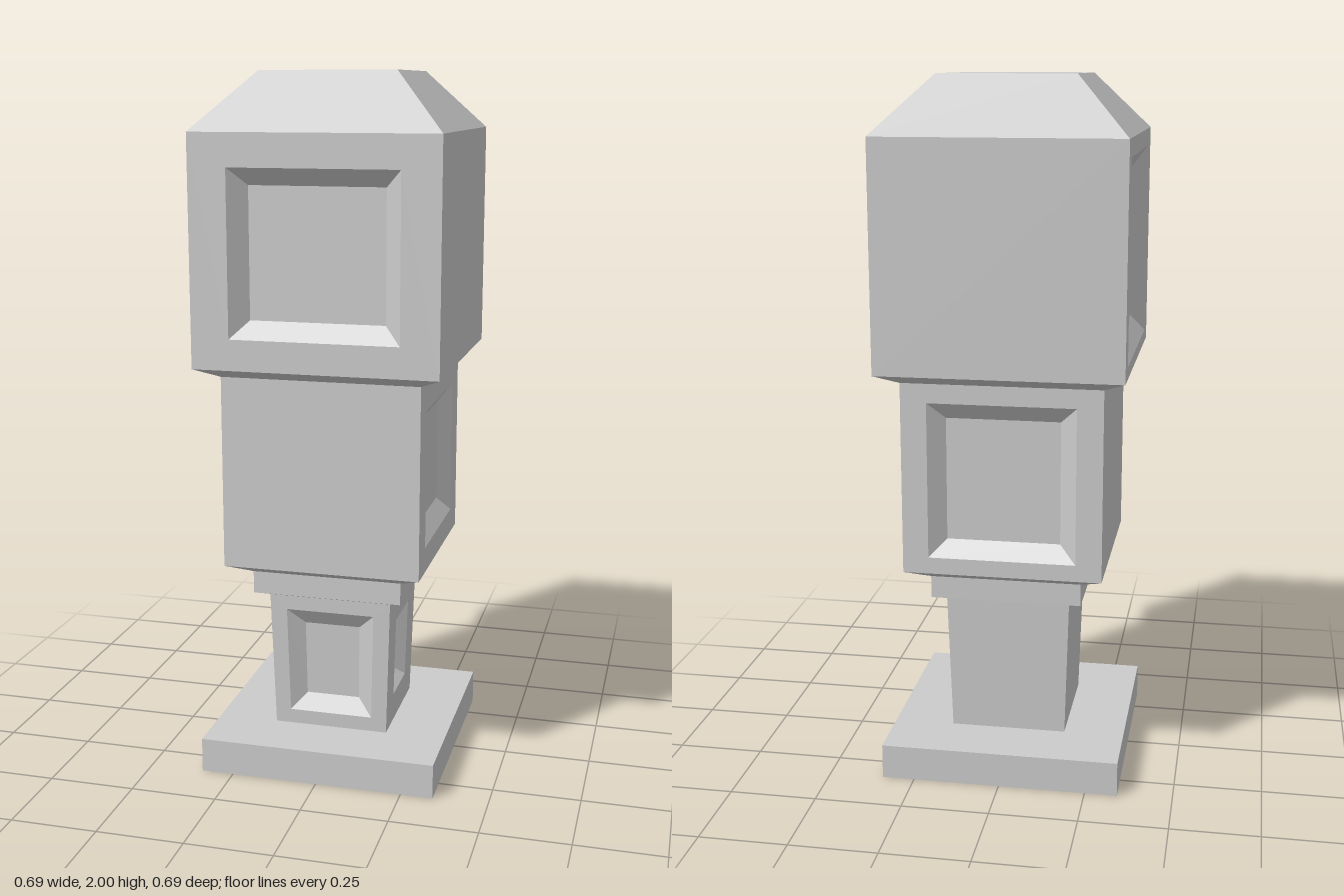
import * as THREE from 'three';

const material = new THREE.MeshStandardMaterial({ color: 0xcccccc, flatShading: true });

// Four-sided block from half-width h0 at y0 to h1 at y1.
// panels: side index (0 front, 1 left, 2 back, 3 right) -> recessed panel
// { w: half-width, y0, y1, inset: bevel width, depth }
function block(name, y0, h0, y1, h1, panels = {}) {
  const pos = [];
  const quad = (a, b, c, d) => [a, b, c, a, c, d].forEach(p => pos.push(...p));
  const ring = (outer, inner) => {
    for (let i = 0; i < 4; i++) {
      const j = (i + 1) % 4;
      quad(outer[i], outer[j], inner[j], inner[i]);
    }
  };
  const halfAt = y => THREE.MathUtils.mapLinear(y, y0, y1, h0, h1);

  for (let side = 0; side < 4; side++) {
    const c = Math.cos(side * Math.PI / 2), s = Math.sin(side * Math.PI / 2);
    // Rectangle on this side, following the taper, sunk by depth
    const rect = (ratio, ya, yb, depth) =>
      [[-1, ya], [1, ya], [1, yb], [-1, yb]].map(([sx, y]) => {
        const x = sx * ratio * halfAt(y), z = halfAt(y) - depth;
        return [x * c + z * s, y, -x * s + z * c];
      });
    const wall = rect(1, y0, y1, 0);
    const p = panels[side];
    if (!p) { quad(...wall); continue; }
    const h = Math.max(h0, h1);
    const rim = rect(p.w / h, p.y0, p.y1, 0);
    const floor = rect((p.w - p.inset) / h, p.y0 + p.inset, p.y1 - p.inset, p.depth);
    ring(wall, rim);
    ring(rim, floor);
    quad(...floor);
  }

  // Caps
  quad([-h1, y1, h1], [h1, y1, h1], [h1, y1, -h1], [-h1, y1, -h1]);
  quad([-h0, y0, -h0], [h0, y0, -h0], [h0, y0, h0], [-h0, y0, h0]);

  const geometry = new THREE.BufferGeometry();
  geometry.setAttribute('position', new THREE.Float32BufferAttribute(pos, 3));
  geometry.computeVertexNormals();
  const mesh = new THREE.Mesh(geometry, material);
  mesh.name = name;
  return mesh;
}

export function createModel() {
  const model = new THREE.Group();
  model.name = 'steppedPillar';

  model.add(
    // Square foot
    block('basePlate', 0, 0.343, 0.1, 0.343),
    // Slightly flaring stem with two recessed panels
    block('stem', 0.1, 0.168, 0.505, 0.18, {
      0: { w: 0.131, y0: 0.143, y1: 0.462, inset: 0.048, depth: 0.03 },
      1: { w: 0.085, y0: 0.185, y1: 0.422, inset: 0.027, depth: 0.03 },
    }),
    // Collar
    block('collarBevel', 0.505, 0.18, 0.52, 0.218),
    block('collar', 0.52, 0.218, 0.585, 0.218),
    // Middle block
    block('middleBevel', 0.585, 0.218, 0.617, 0.284),
    block('middleBlock', 0.617, 0.284, 1.17, 0.284, {
      1: { w: 0.198, y0: 0.69, y1: 1.087, inset: 0.048, depth: 0.036 },
      2: { w: 0.21, y0: 0.665, y1: 1.115, inset: 0.048, depth: 0.036 },
    }),
    // Head block with chamfered cap
    block('headBevel', 1.17, 0.284, 1.2, 0.346),
    block('headBlock', 1.2, 0.346, 1.84, 0.346, {
      0: { w: 0.238, y0: 1.287, y1: 1.748, inset: 0.048, depth: 0.045 },
      3: { w: 0.28, y0: 1.235, y1: 1.79, inset: 0.055, depth: 0.04 },
    }),
    block('cap', 1.84, 0.346, 2, 0.192),
  );
  return model;
}
